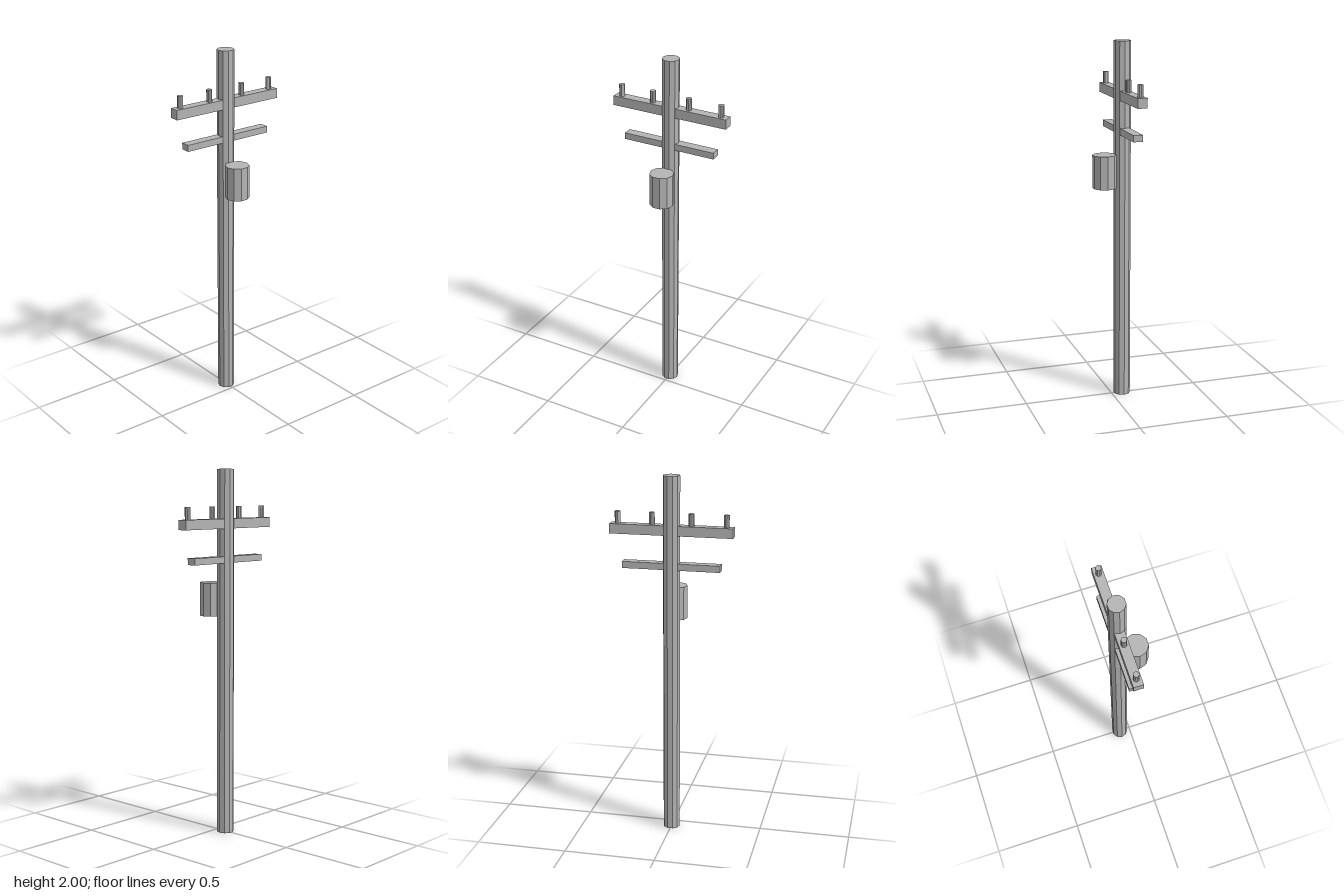
import * as THREE from 'three';

export function createModel() {
  const group = new THREE.Group();
  group.name = 'utilityPole';
  const grey = new THREE.MeshStandardMaterial({ color: 0xb4b4b4, flatShading: true });
  grey.name = 'grey';
  const poleZ = -0.061;

  const add = (name, geometry, x, y, z) => {
    const mesh = new THREE.Mesh(geometry, grey);
    mesh.name = name;
    mesh.position.set(x, y, z);
    group.add(mesh);
  };
  // Ten-sided upright prism with corners on the x axis, from y0 to y1
  const prism = (name, r, y0, y1, x, z) => {
    const g = new THREE.CylinderGeometry(r, r, y1 - y0, 10).rotateY(Math.PI / 10);
    add(name, g, x, (y0 + y1) / 2, z);
  };

  prism('pole', 0.0465, 0, 2, 0, poleZ);
  prism('transformer', 0.066, 1.205, 1.388, 0, 0.04);

  // Crossarms
  add('upperCrossarm', new THREE.BoxGeometry(0.666, 0.053, 0.053), 0, 1.71, poleZ);
  add('lowerCrossarm', new THREE.BoxGeometry(0.533, 0.036, 0.053), 0, 1.517, poleZ);

  // Insulator pegs on the upper crossarm
  for (const x of [-0.294, -0.107, 0.106, 0.293]) {
    prism('insulator', 0.0155, 1.735, 1.802, x, poleZ);
  }
  return group;
}
